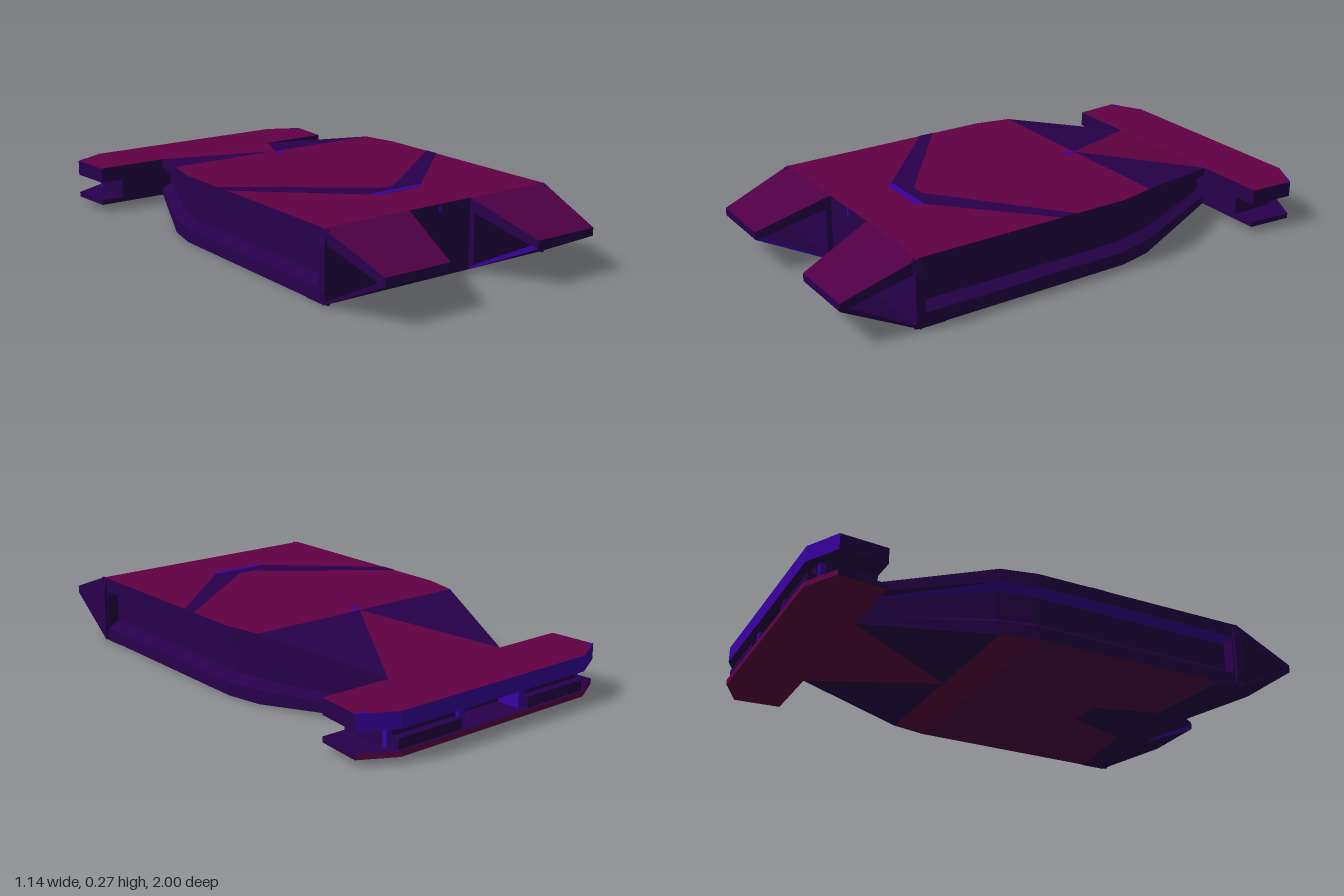
import * as THREE from 'three';

const flat = (name, color) => {
  const m = new THREE.MeshStandardMaterial({ color });
  m.name = name;
  return m;
};

export function createModel() {
  const magenta = flat('deep magenta', 0x630043);
  const purple = flat('dark purple', 0x28004c);
  const blue = flat('violet blue', 0x3a00a4);
  const plum = flat('dark plum', 0x500046);
  const palette = [magenta, purple, blue, plum];
  const M = 0, P = 1, B = 2, D = 3;
  const model = new THREE.Group();

  // Facets a geometry and assigns each triangle a colour by its normal and centre
  function faceted(name, source, pick) {
    const geo = source.index ? source.toNonIndexed() : source;
    geo.clearGroups();
    geo.computeVertexNormals();
    const p = geo.attributes.position, tri = new THREE.Triangle();
    const n = new THREE.Vector3(), c = new THREE.Vector3();
    for (let i = 0; i < p.count; i += 3) {
      tri.setFromAttributeAndIndices(p, i, i + 1, i + 2);
      tri.getNormal(n);
      tri.getMidpoint(c);
      geo.addGroup(i, 3, pick(n, c));
    }
    const mesh = new THREE.Mesh(geo, palette);
    mesh.name = name;
    model.add(mesh);
  }

  const shapeOf = pts => new THREE.Shape(pts.map(([x, y]) => new THREE.Vector2(x, y)));

  // Horizontal plate from an x/z outline
  function plate(name, pts, top, depth, pick) {
    const geo = new THREE.ExtrudeGeometry(shapeOf(pts), { depth, bevelEnabled: false });
    geo.rotateX(Math.PI / 2).translate(0, top, 0);
    faceted(name, geo, pick);
  }

  function box(name, x0, x1, y0, y1, z0, z1, colour) {
    const geo = new THREE.BoxGeometry(x1 - x0, y1 - y0, z1 - z0);
    geo.translate((x0 + x1) / 2, (y0 + y1) / 2, (z0 + z1) / 2);
    const mesh = new THREE.Mesh(geo, palette[colour]);
    mesh.name = name;
    model.add(mesh);
  }

  // Main hull: sections from front to back [z, half width, top, bottom, side recess]
  const stations = [
    [0.72, 0.5, 0.265, 0.002, 0], [0.70, 0.5, 0.265, 0.002, 0],
    [0.69, 0.5, 0.265, 0.002, 0.04], [-0.15, 0.5, 0.265, 0.002, 0.04],
    [-0.29, 0.47, 0.265, 0.002, 0.04], [-0.75, 0.27, 0.18, 0.025, 0.04],
  ];
  const rings = stations.map(([z, w, t, b, d]) => {
    const side = [[w, 1], [w, 0.8], [w - d, 0.72], [w - d, 0.3], [w, 0.2], [w, 0]];
    const left = side.map(([x, f]) => [-x, f]).reverse();
    return [[0, 1], ...side, [0, 0], ...left].map(([x, f]) => [x, b + (t - b) * f, z]);
  });
  const verts = [], N = rings[0].length;
  for (let s = 0; s < rings.length - 1; s++) {
    for (let i = 0; i < N; i++) {
      const j = (i + 1) % N;
      const a = rings[s][i], b = rings[s][j], c = rings[s + 1][j], d = rings[s + 1][i];
      if (i % 7 === 0) verts.push(a, b, c, a, c, d);
      else verts.push(a, b, d, b, c, d);
    }
  }
  const front = rings[0], back = rings[rings.length - 1];
  for (let i = 1; i < N - 1; i++) {
    verts.push(front[0], front[i + 1], front[i]);
    verts.push(back[0], back[i], back[i + 1]);
  }
  const hullGeo = new THREE.BufferGeometry();
  hullGeo.setAttribute('position', new THREE.Float32BufferAttribute(verts.flat(), 3));
  faceted('hull', hullGeo, (n, c) => {
    if (n.y < -0.95 && c.z > -0.15) return D;
    if (Math.abs(n.y) > 0.95) return c.z > -0.29 || Math.abs(c.x) < 0.2 ? M : P;
    return n.y < -0.4 ? B : P;
  });

  // Chevron on the deck, with a bright strip at its point
  plate('deckChevron', [[0.5, 0.07], [0.5, 0.13], [0.12, 0.475], [-0.12, 0.475],
    [-0.5, 0.13], [-0.5, 0.07], [-0.03, 0.43], [0.03, 0.43]], 0.2665, 0.002, () => P);
  plate('chevronStrip', [[0.12, 0.475], [0.1, 0.5], [-0.1, 0.5], [-0.12, 0.475]],
    0.2665, 0.002, () => B);

  // Small bright markers on the deck and the front wall
  plate('deckMarker', [[0, -0.285], [0.018, -0.27], [0, -0.23], [-0.018, -0.27]],
    0.2665, 0.002, () => B);
  box('frontMarker', -0.006, 0.006, 0.235, 0.262, 0.718, 0.722, B);

  // Dark panel under the nose
  plate('bellyPanel', [[0.5, 0.72], [-0.5, 0.72], [-0.5, 0.62], [-0.14, 0.58],
    [-0.12, 0.5], [-0.07, 0.33], [0.07, 0.33], [0.12, 0.5], [0.14, 0.58], [0.5, 0.62]],
    0.002, 0.002, () => P);

  // Two hollow wedge prongs, narrowing towards the tip
  for (const side of [1, -1]) {
    const profile = shapeOf([[0.72, 0], [1, 0.135], [1, 0.165], [0.72, 0.265]]);
    profile.holes.push(new THREE.Path([[0.74, 0.02], [0.74, 0.212], [0.97, 0.141]]
      .map(([x, y]) => new THREE.Vector2(x, y))));
    const geo = new THREE.ExtrudeGeometry(profile, { depth: 1, bevelEnabled: false });
    geo.rotateY(-Math.PI / 2);
    const p = geo.attributes.position;
    for (let i = 0; i < p.count; i++) {
      const t = (p.getZ(i) - 0.72) / 0.28;
      const inner = 0.14 + 0.06 * t, outer = 0.505 - 0.035 * t;
      const k = p.getX(i) + 1;
      const u = side > 0 ? k : 1 - k;
      p.setX(i, side * (inner + (outer - inner) * u));
    }
    faceted(side > 0 ? 'leftProng' : 'rightProng', geo, (n, c) => {
      if (n.y > 0.5 && c.y > 0.26 - (c.z - 0.72) * 0.357) return D;
      const lowerInnerRim = n.x * side < -0.5 && c.y < 0.11 && c.z > 0.76;
      return lowerInnerRim ? B : P;
    });

    // Chamfered post where the prong meets the hull
    const post = shapeOf([[0.49, 0.003], [0.5, 0.003], [0.513, 0.05], [0.513, 0.21],
      [0.5, 0.262], [0.49, 0.262]].map(([x, y]) => [x * side, y]));
    const postGeo = new THREE.ExtrudeGeometry(post, { depth: 0.035, bevelEnabled: false });
    faceted('prongPost', postGeo.translate(0, 0, 0.705), () => P);
  }

  // Rear wing: two stacked plates
  const wing = [[0.555, -0.75], [0.57, -0.93], [0.44, -1],
    [-0.44, -1], [-0.57, -0.93], [-0.555, -0.75]];
  plate('upperWing', wing, 0.18, 0.06, (n) =>
    n.y > 0.5 ? M : n.z < -0.3 ? B : P);
  plate('lowerWing', wing, 0.045, 0.02, (n) =>
    n.y < -0.5 || n.z < -0.3 ? M : P);

  // Core between the plates, with a slot at the back
  box('wingCore', -0.46, 0.46, 0.042, 0.125, -0.88, -0.75, P);
  for (const side of [1, -1]) {
    const span = (a, b) => side > 0 ? [a, b] : [-b, -a];
    box('corePad', ...span(0.16, 0.44), 0.042, 0.125, -0.96, -0.88, P);
    box('coreLedge', ...span(0.16, 0.44), 0.042, 0.085, -0.99, -0.96, P);
    box('slotPost', ...span(0.13, 0.16), 0.042, 0.125, -0.975, -0.88, B);
    box('coreEnd', ...span(0.44, 0.46), 0.042, 0.125, -0.935, -0.88, P);
    box('corePost', ...span(0.44, 0.46), 0.042, 0.125, -0.955, -0.935, B);

    // Bright tips on the clipped wing corners
    plate('wingTip', [[0.569, -0.93], [0.53, -0.951], [0.545, -0.922]]
      .map(([x, z]) => [x * side, z]), 0.1815, 0.002, () => B);
  }
  return model;
}
